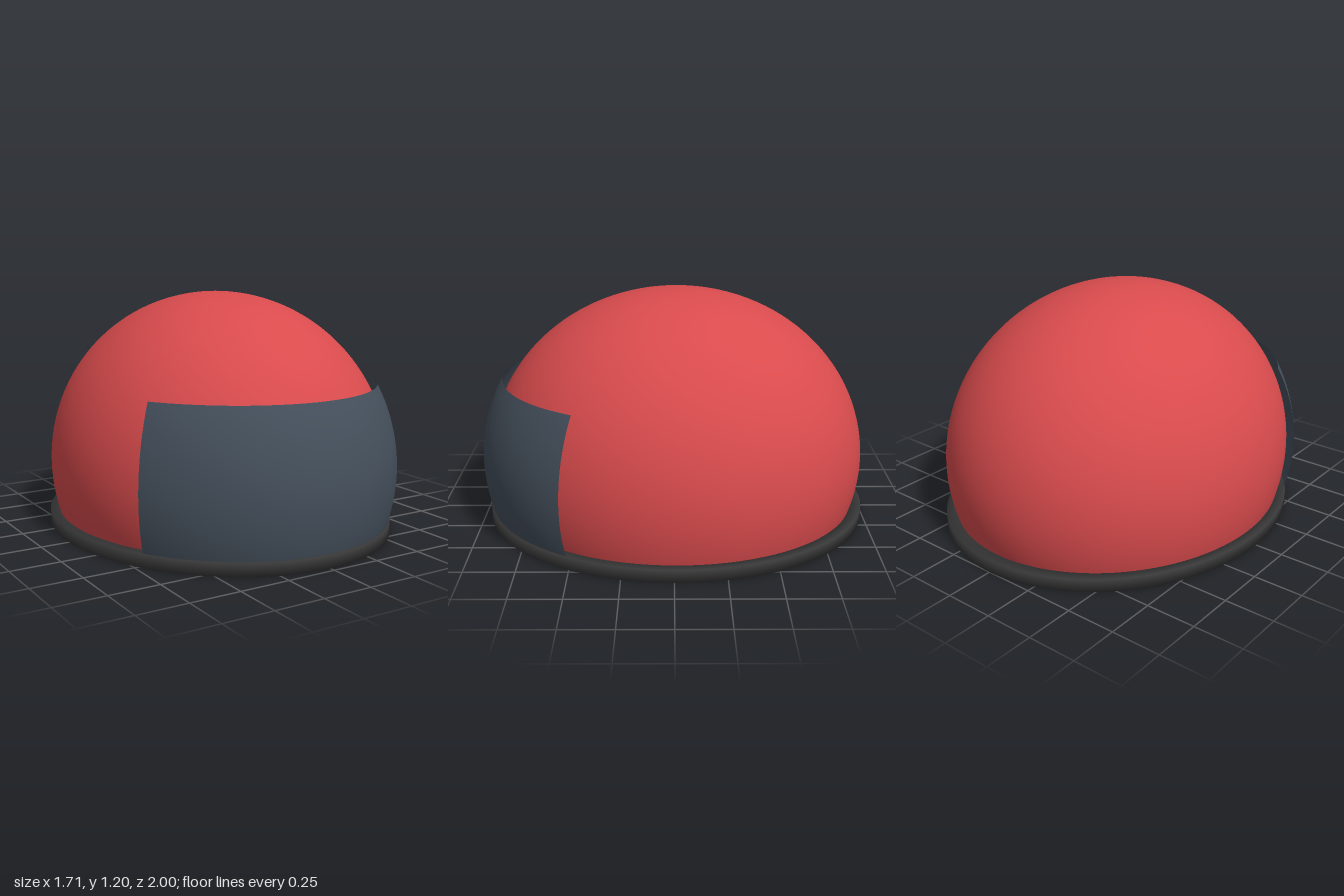
import * as THREE from 'three';

const CENTER_Y = 0.32, CENTER_Z = -0.0125;
const RX = 0.845, RY = 0.88, RZ = 0.97; // shell radii

// Smooth ellipsoid patch between two heights, spanning an angle about the front.
function ellipsoidPatch(scale, yTop, yBottom, halfAngle, segments) {
  const ry = RY * scale;
  const start = Math.acos(Math.min(1, (yTop - CENTER_Y) / ry));
  const end = Math.acos((yBottom - CENTER_Y) / ry);
  const geo = new THREE.SphereGeometry(1, segments, 40,
    Math.PI / 2 - halfAngle, halfAngle * 2, start, end - start);
  geo.scale(RX * scale, ry, RZ * scale);
  geo.translate(0, CENTER_Y, CENTER_Z);
  return geo;
}

// Oval band of square section with softened shading across its corners.
function ovalBand(rx, rz, half, segments) {
  const corners = [[1, -1], [1, 1], [-1, 1], [-1, -1]];
  const positions = [], index = [];
  for (let i = 0; i < segments; i++) {
    const a = i / segments * Math.PI * 2;
    const next = (i + 1) % segments;
    corners.forEach(([out, up], c) => {
      positions.push(Math.cos(a) * (rx + out * half), half + up * half,
        Math.sin(a) * (rz + out * half) + CENTER_Z);
      const d = (c + 1) % 4;
      index.push(i * 4 + c, i * 4 + d, next * 4 + c);
      index.push(i * 4 + d, next * 4 + d, next * 4 + c);
    });
  }
  const geo = new THREE.BufferGeometry();
  geo.setAttribute('position', new THREE.Float32BufferAttribute(positions, 3));
  geo.setIndex(index);
  geo.computeVertexNormals();
  return geo;
}

export function createModel() {
  const red = new THREE.MeshStandardMaterial({ color: 0xd94b4d, side: THREE.DoubleSide });
  red.name = 'shell red';
  const slate = new THREE.MeshStandardMaterial({ color: 0x444f5b, side: THREE.DoubleSide });
  slate.name = 'visor slate';
  const black = new THREE.MeshStandardMaterial({ color: 0x383838 });
  black.name = 'rim black';

  const model = new THREE.Group();
  model.name = 'helmet';
  const add = (name, geometry, material) => {
    const mesh = new THREE.Mesh(geometry, material);
    mesh.name = name;
    model.add(mesh);
  };

  // Open-bottomed dome
  add('shell', ellipsoidPatch(1, CENTER_Y + RY, 0.03, Math.PI, 96), red);
  // Thin curved visor floating just off the dome
  add('visor', ellipsoidPatch(1.045, 0.75, 0.04, 1, 48), slate);
  // Rim band around the opening
  add('rim', ovalBand(0.8225, 0.955, 0.0325, 96), black);

  return model;
}
